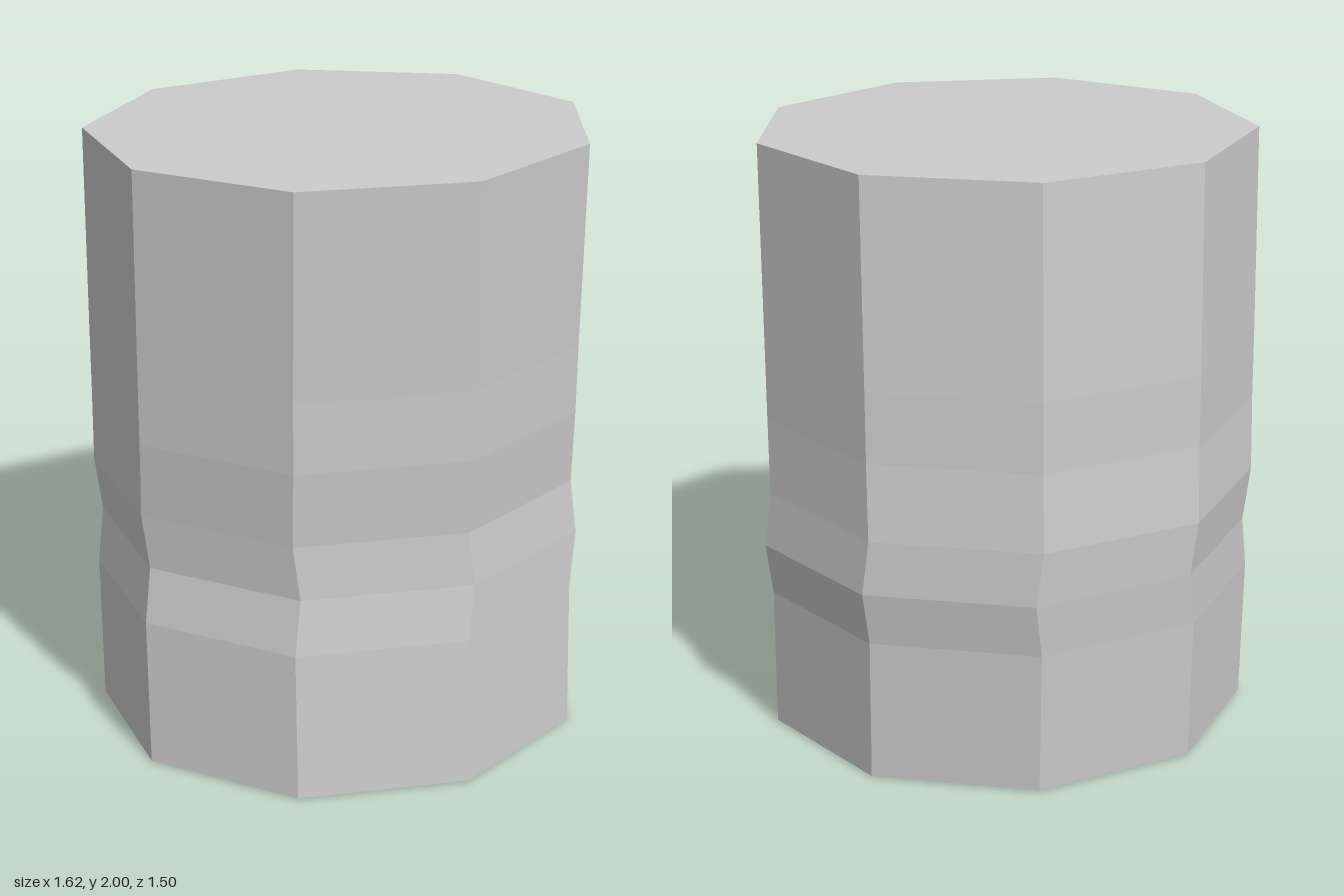
import * as THREE from 'three';

export function createModel() {
  const group = new THREE.Group();

  // Rings from bottom to top: [radius, height, x shift, z shift]
  const rings = [
    [0, 0, -0.012, 0.052],
    [0.48, 0, -0.012, 0.052],
    [0.81, 0.004, -0.012, 0.052],
    [0.81, 0.49, -0.012, 0.021],
    [0.81, 0.67, 0.01, -0.004],
    [0.81, 0.85, -0.012, -0.009],
    [0.81, 1.1, -0.012, 0.012],
    [0.81, 1.33, -0.012, 0.018],
    [0.81, 1.996, -0.012, 0.052],
    [0.6, 2, -0.012, 0.052],
    [0, 2, -0.012, 0.052],
  ];

  // Nine-sided column with one corner pointing to the back
  const profile = rings.map(([r, y]) => new THREE.Vector2(r, y));
  const geometry = new THREE.LatheGeometry(profile, 9, Math.PI);

  // Flatten the section slightly in depth and slide each ring sideways
  const pos = geometry.attributes.position;
  for (let i = 0; i < pos.count; i++) {
    const [, , dx, dz] = rings[i % rings.length];
    pos.setX(i, pos.getX(i) + dx);
    pos.setZ(i, pos.getZ(i) * 0.913 + dz);
  }
  geometry.computeVertexNormals();

  const material = new THREE.MeshStandardMaterial({ color: 0xcccccc, flatShading: true });
  const column = new THREE.Mesh(geometry, material);
  column.name = 'bentColumn';
  group.add(column);
  return group;
}
